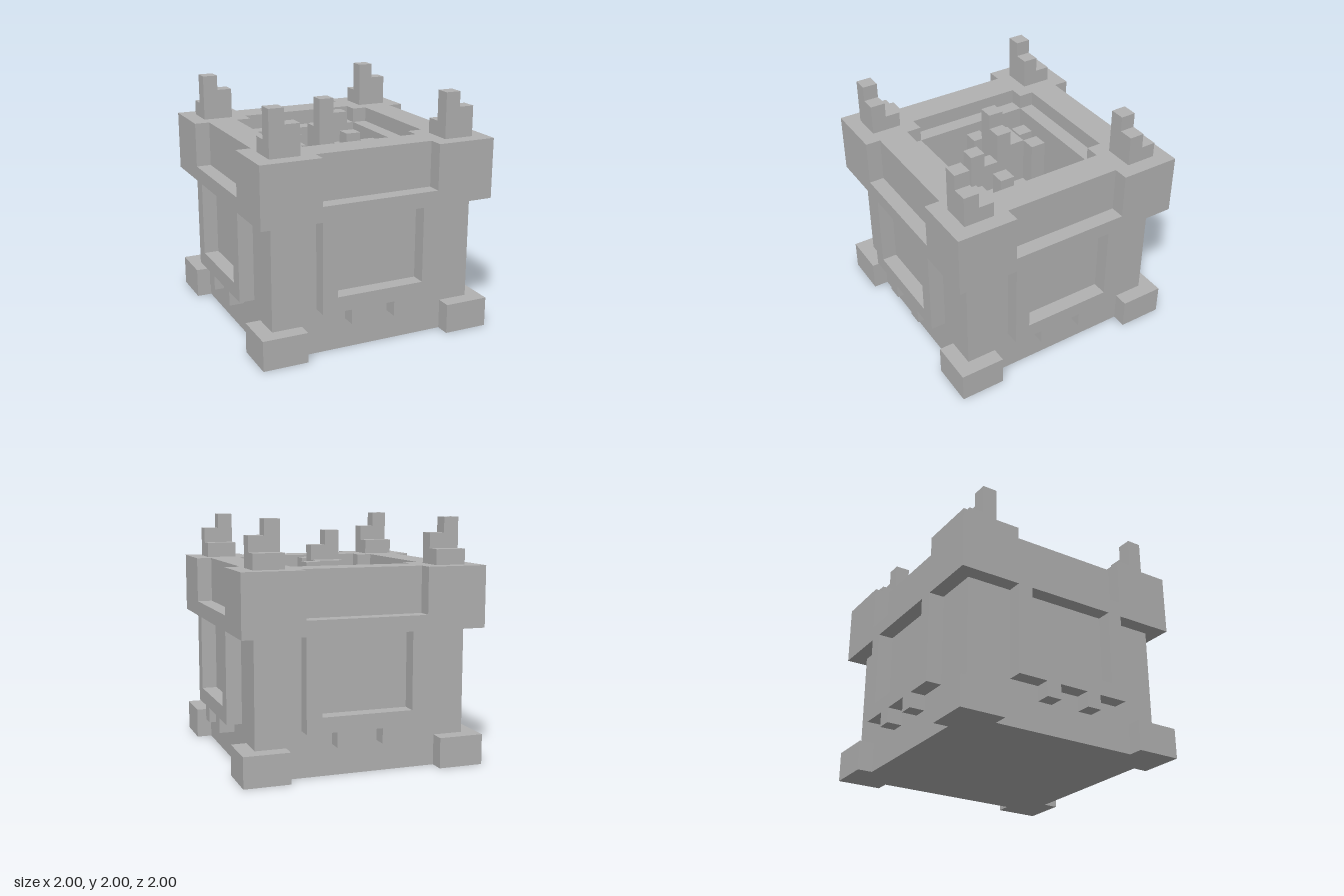
import * as THREE from 'three';

const U = 0.125; // one block

export function createModel() {
  const model = new THREE.Group();
  model.name = 'brazier';
  const stone = new THREE.MeshStandardMaterial({ color: 0xb2b2b2 });
  stone.name = 'grey stone';

  // box given by its two extreme corners, in blocks
  function block(parent, name, x0, y0, z0, x1, y1, z1) {
    const geo = new THREE.BoxGeometry((x1 - x0) * U, (y1 - y0) * U, (z1 - z0) * U);
    geo.translate((x0 + x1) / 2 * U, (y0 + y1) / 2 * U, (z0 + z1) / 2 * U);
    const mesh = new THREE.Mesh(geo, stone);
    mesh.name = name;
    parent.add(mesh);
    return mesh;
  }
  const outline = (pts) => pts.map(([x, y]) => new THREE.Vector2(x * U, y * U));
  const square = (r) => outline([[-r, -r], [r, -r], [r, r], [-r, r]]);

  // solid lower body and the hollow fire bowl above it
  block(model, 'body', -7, 0, -7, 7, 8, 7);
  const bowlShape = new THREE.Shape(square(7));
  bowlShape.holes.push(new THREE.Path(square(4).reverse()));
  const bowlGeo = new THREE.ExtrudeGeometry(bowlShape, { depth: 4 * U, bevelEnabled: false });
  bowlGeo.rotateX(-Math.PI / 2).translate(0, 8 * U, 0);
  const bowl = new THREE.Mesh(bowlGeo, stone);
  bowl.name = 'bowlWall';
  model.add(bowl);

  // framed panel with two teeth along its lower edge
  const panelShape = new THREE.Shape(outline([
    [-4, 3], [-2, 3], [-2, 2], [-1, 2], [-1, 3], [1, 3], [1, 2], [2, 2], [2, 3], [4, 3], [4, 10], [-4, 10],
  ]));
  panelShape.holes.push(new THREE.Path(outline([[-3, 4], [-3, 9], [3, 9], [3, 4]])));
  const panelGeo = new THREE.ExtrudeGeometry(panelShape, { depth: U, bevelEnabled: false });
  panelGeo.translate(0, 0, 7 * U);

  for (let i = 0; i < 4; i++) {
    const side = new THREE.Group();
    side.name = 'side';
    side.rotation.y = i * Math.PI / 2;
    const panel = new THREE.Mesh(panelGeo, stone);
    panel.name = 'panelFrame';
    side.add(panel);
    block(side, 'rimBar', -4, 12, 5, 4, 13, 7);
    block(side, 'rimCorner', 4, 9, 4, 8, 13, 8);
    block(side, 'foot', 5, 0, 5, 8, 2, 8);
    model.add(side);
  }

  // stepped spires, all turned the same way
  for (const x of [-7, 5]) {
    for (const z of [-7, 5]) {
      const spire = new THREE.Group();
      spire.name = 'spire';
      block(spire, 'lowStep', x, 13, z, x + 2, 14, z + 1);
      block(spire, 'tallStep', x, 13, z + 1, x + 1, 16, z + 2);
      block(spire, 'middleStep', x + 1, 13, z + 1, x + 2, 15, z + 2);
      model.add(spire);
    }
  }

  // blocky flames: x, z, width, top height
  const fire = new THREE.Group();
  fire.name = 'fire';
  block(fire, 'fireBase', -2, 8, -2, 2, 10, 2);
  const flames = [
    [-1, 0, 1, 15], [0, 0, 1, 14], [-1, -1, 2, 13], [1, -2, 1, 13], [0, 1, 1, 12],
    [0, 2, 1, 13], [-3, 0, 1, 12], [-2, -3, 1, 12], [2, 1, 1, 12],
  ];
  for (const [x, z, w, top] of flames) block(fire, 'flame', x, 8, z, x + w, top, z + 1);
  model.add(fire);

  return model;
}
